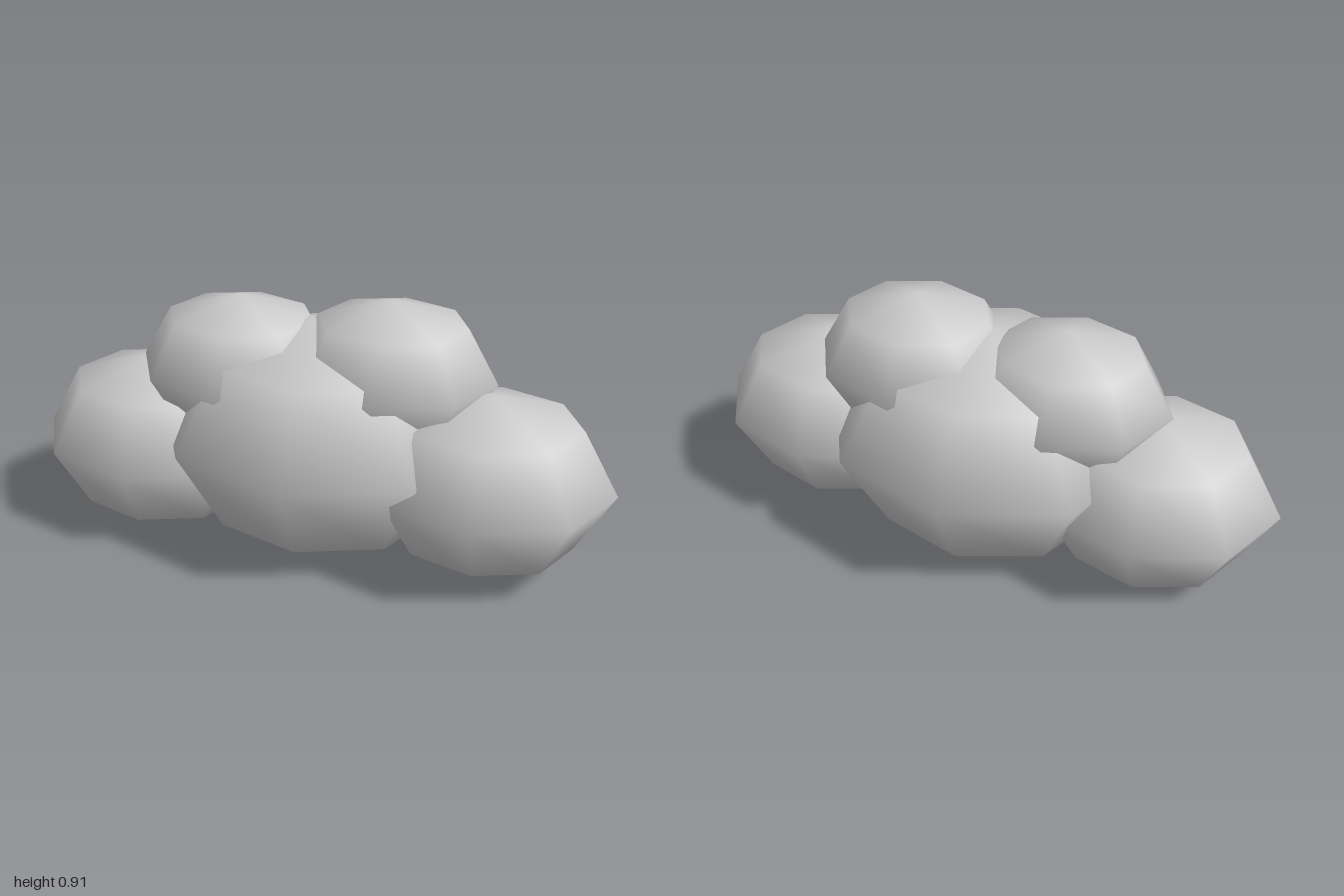
import * as THREE from 'three';

export function createModel() {
  const group = new THREE.Group();
  group.name = 'cloud';
  const material = new THREE.MeshStandardMaterial({ color: 0xcccccc });

  // Each puff is a coarse smooth-shaded ball, stretched wide and flattened
  const puff = (name, radius, x, y, z) => {
    const geometry = new THREE.SphereGeometry(radius, 8, 4);
    geometry.scale(1.2, 0.878, 1);
    const mesh = new THREE.Mesh(geometry, material);
    mesh.name = name;
    mesh.position.set(x, y, z);
    group.add(mesh);
  };

  puff('centrePuff', 0.467, 0, 0.41, 0);
  puff('leftPuff', 0.349, 0.58, 0.343, 0.07);
  puff('rightPuff', 0.349, -0.585, 0.31, 0);
  puff('upperLeftPuff', 0.291, 0.238, 0.65, 0);
  puff('upperRightPuff', 0.291, -0.275, 0.615, 0);

  return group;
}
